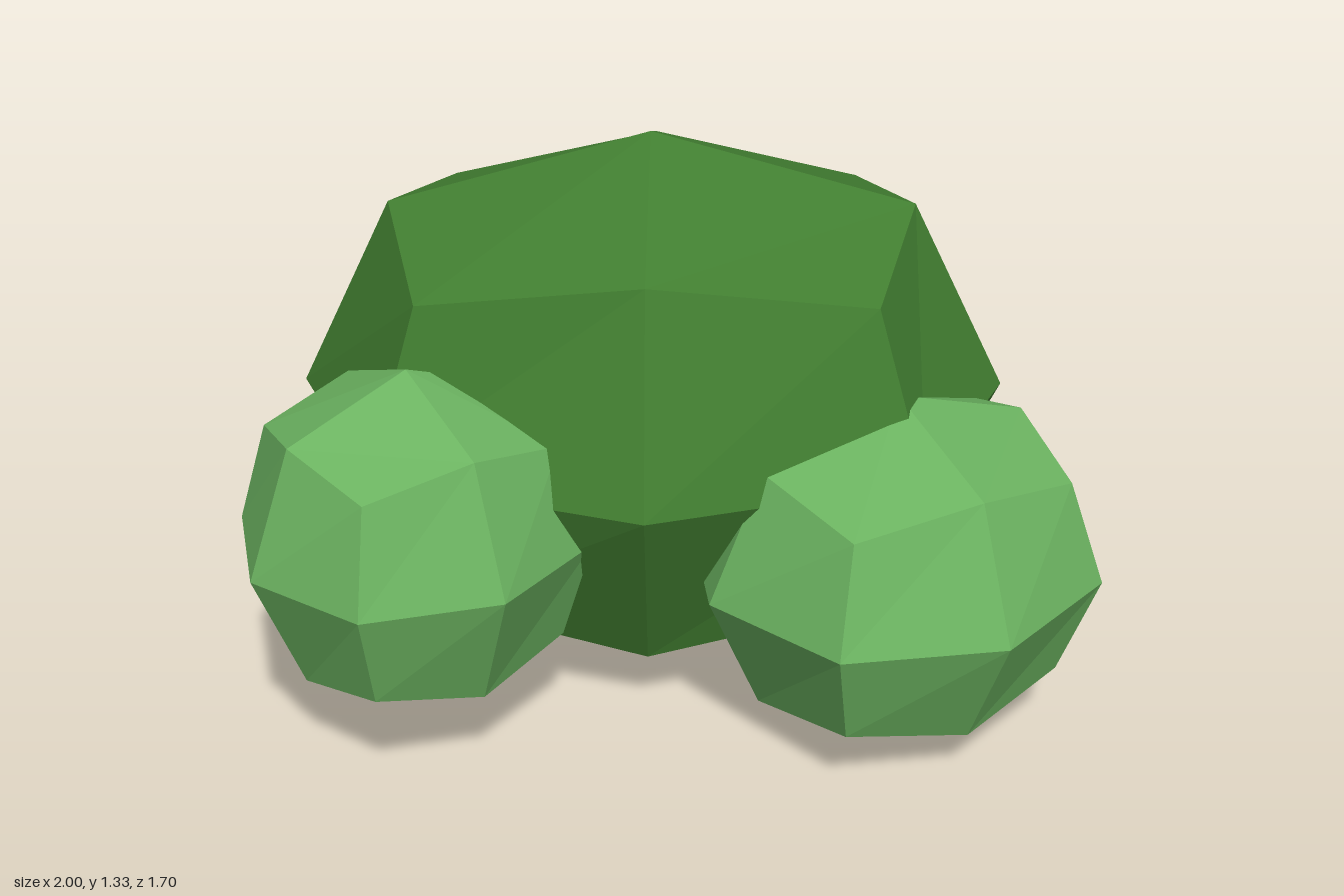
import * as THREE from 'three';

const EDGE = 0.727, CORNER = 0.597;

// A 24-sided faceted ball: a 2x2x2 cube grid pulled towards a sphere,
// then stretched along the given right, up and front radius vectors.
function facetedBall(name, material, center, right, up, front) {
  const geo = new THREE.BoxGeometry(2, 2, 2, 2, 2, 2);
  const pos = geo.attributes.position;
  const v = new THREE.Vector3();
  for (let i = 0; i < pos.count; i++) {
    v.fromBufferAttribute(pos, i).round();
    const n = Math.abs(v.x) + Math.abs(v.y) + Math.abs(v.z); // 1 face centre, 2 edge, 3 corner
    v.multiplyScalar([0, 1, EDGE, CORNER][n]);
    pos.setXYZ(i, v.x, v.y, v.z);
  }
  const basis = new THREE.Matrix4().makeBasis(
    new THREE.Vector3(...right), new THREE.Vector3(...up), new THREE.Vector3(...front));
  basis.setPosition(...center);
  geo.applyMatrix4(basis);
  const flat = geo.toNonIndexed();
  flat.clearGroups();
  flat.computeVertexNormals();
  const mesh = new THREE.Mesh(flat, material);
  mesh.name = name;
  return mesh;
}

export function createModel() {
  const group = new THREE.Group();
  group.name = 'bush';

  const darkLeaf = new THREE.MeshStandardMaterial({ color: 0x427f31 });
  darkLeaf.name = 'dark leaf green';
  const lightLeaf = new THREE.MeshStandardMaterial({ color: 0x6cb461 });
  lightLeaf.name = 'light leaf green';

  // Large rear clump, leaning slightly forward
  group.add(facetedBall('largeClump', darkLeaf, [-0.055, 0.666, -0.12],
    [0.875, 0, 0], [0, 0.664, 0.038], [0, -0.022, 0.732]));

  // Two small clumps in front
  group.add(facetedBall('rightClump', lightLeaf, [-0.59, 0.525, 0.42],
    [0.24, 0, 0.335], [0, 0.405, 0], [-0.33, 0, 0.25]));
  group.add(facetedBall('leftClump', lightLeaf, [0.52, 0.417, 0.315],
    [0.43, 0, -0.25], [0, 0.41, 0], [0.225, 0, 0.435]));

  return group;
}
